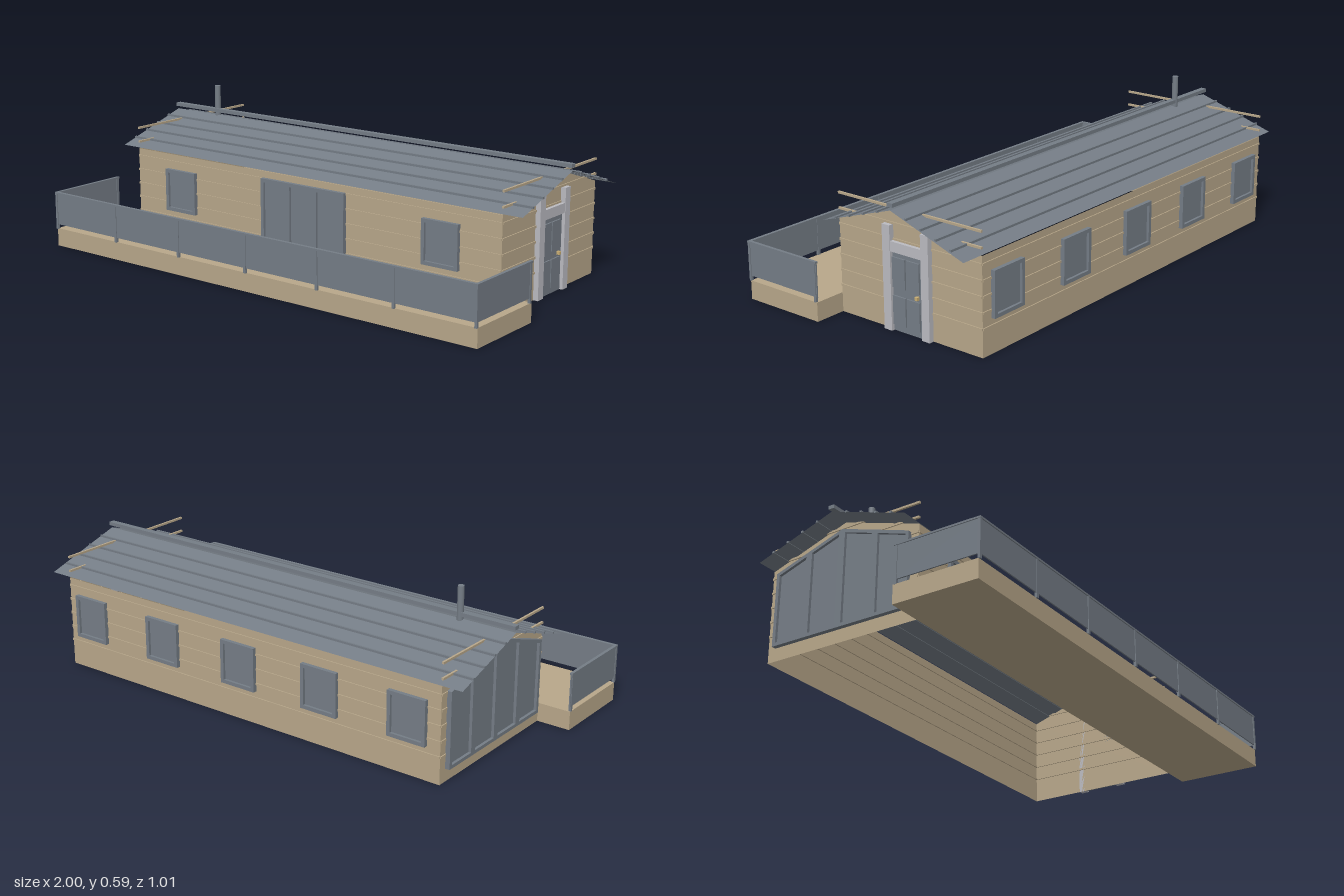
import * as THREE from 'three';

const mat = (name, color, side = THREE.FrontSide) =>
  Object.assign(new THREE.MeshStandardMaterial({ color, side }), { name });

export function createModel() {
  const tan = mat('timber', 0xb8a78a, THREE.DoubleSide);
  const gray = mat('slate gray', 0x757d86, THREE.DoubleSide);
  const white = mat('pale trim', 0xbbbbc1);
  const brass = mat('brass', 0xc9ae74);

  const model = new THREE.Group();
  model.name = 'cabin';
  const group = (name) => {
    const g = new THREE.Group();
    g.name = name;
    model.add(g);
    return g;
  };
  const add = (parent, name, geo, m) => {
    const mesh = new THREE.Mesh(geo, m);
    mesh.name = name;
    parent.add(mesh);
    return mesh;
  };
  // Box given by its min and max on each axis
  const box = (parent, name, m, x0, x1, y0, y1, z0, z1) =>
    add(parent, name, new THREE.BoxGeometry(x1 - x0, y1 - y0, z1 - z0), m)
      .position.set((x0 + x1) / 2, (y0 + y1) / 2, (z0 + z1) / 2);
  // Flat convex polygon as a triangle fan
  const poly = (parent, name, m, pts) => {
    const geo = new THREE.BufferGeometry().setFromPoints(pts.map((p) => new THREE.Vector3(...p)));
    geo.setIndex(pts.slice(2).flatMap((_, i) => [0, i + 1, i + 2]));
    const flat = geo.toNonIndexed();
    flat.computeVertexNormals();
    return add(parent, name, flat, m);
  };

  const L = -0.866, R = 0.874, F = 0.16, B = -0.486, RZ = -0.163, EAVE = 0.36, RIDGE = 0.465;
  const SLOPE = (RIDGE - EAVE) / (F - RZ);
  const roofY = (z) => RIDGE - SLOPE * Math.abs(z - RZ);

  // Wall shell, open underneath
  const walls = group('walls');
  poly(walls, 'frontWall', tan, [[L, 0, F], [R, 0, F], [R, EAVE, F], [L, EAVE, F]]);
  poly(walls, 'backWall', tan, [[R, 0, B], [L, 0, B], [L, EAVE, B], [R, EAVE, B]]);
  poly(walls, 'rightGable', tan, [[R, 0, F], [R, 0, B], [R, EAVE, B], [R, RIDGE, RZ], [R, EAVE, F]]);
  poly(walls, 'leftGable', tan, [[L, 0, B], [L, 0, F], [L, EAVE, F], [L, RIDGE, RZ], [L, EAVE, B]]);

  // Siding battens; the top two on each gable run out past the roof
  const siding = group('siding');
  for (let i = 0; i < 7; i++) {
    const y = 0.102 + i * 0.057;
    for (const x of [L, R]) box(siding, 'gableBatten', tan, x - 0.004, x + 0.004, y - 0.004, y + 0.004, B, F);
    if (i < 5)
      for (const z of [F, B]) box(siding, 'wallBatten', tan, L, R, y - 0.004, y + 0.004, z - 0.004, z + 0.004);
  }

  // Thin roof planes with raised ribs, and the ridge bar
  const roof = group('roof');
  const t = 0.003;
  poly(roof, 'frontSlope', gray, [[-0.95, EAVE + t, F], [0.953, EAVE + t, F], [0.958, RIDGE + t, RZ], [-0.948, RIDGE + t, RZ]]);
  poly(roof, 'backSlope', gray, [[0.966, EAVE + t, B], [-0.945, EAVE + t, B], [-0.948, RIDGE + t, RZ], [0.958, RIDGE + t, RZ]]);
  for (const s of [1, -1])
    for (let i = 0; i < 4; i++) {
      const z = RZ + s * (0.065 + i * 0.065);
      const y = roofY(z) + 0.006;
      box(roof, 'roofRib', gray, -0.948, 0.957, y - 0.004, y + 0.004, z - 0.004, z + 0.004);
    }
  box(roof, 'ridgeBar', gray, -0.95, 0.96, 0.48, 0.494, RZ - 0.012, RZ + 0.012);

  // Chimney
  add(group('chimney'), 'chimneyPipe', new THREE.CylinderGeometry(0.012, 0.012, 0.15, 16), gray)
    .position.set(-0.725, 0.515, -0.166);

  // Framed windows on the long walls; dir is the outward z direction
  const windowUnit = (name, x0, x1, y0, y1, wallZ, dir, panes = 1) => {
    const g = group(name);
    const z = (d) => wallZ + dir * d;
    const slab = (part, a, b, c, d, depth) =>
      box(g, part, gray, a, b, c, d, Math.min(z(0.001), z(depth)), Math.max(z(0.001), z(depth)));
    const w = 0.014;
    slab('glass', x0 + w, x1 - w, y0 + w, y1 - w, 0.007);
    slab('frameTop', x0, x1, y1 - w, y1, 0.017);
    slab('frameBottom', x0, x1, y0, y0 + w, 0.017);
    for (let i = 0; i <= panes; i++) {
      const c = x0 + w / 2 + ((x1 - x0 - w) * i) / panes;
      slab('frameUpright', c - w / 2, c + w / 2, y0 + w, y1 - w, 0.017);
    }
  };
  windowUnit('patioDoors', -0.2, 0.2, 0.071, 0.335, F, 1, 3);
  for (const x of [-0.625, 0.625]) windowUnit('frontWindow', x - 0.078, x + 0.078, 0.13, 0.3, F, 1);
  for (const x of [-0.735, -0.363, 0.007, 0.38, 0.753]) windowUnit('backWindow', x - 0.078, x + 0.078, 0.13, 0.3, B, -1);

  // Glazed gable: four panes with sloping tops
  const glazing = group('gableGlazing');
  const outline = (z0, z1, inset) => [
    [z0 + inset, 0.05 + inset], [z1 - inset, 0.05 + inset],
    [z1 - inset, roofY(z1 - inset) - 0.035 - inset], [z0 + inset, roofY(z0 + inset) - 0.035 - inset],
  ].map((p) => new THREE.Vector2(...p));
  const sheet = (name, shape, depth) => {
    const geo = new THREE.ExtrudeGeometry(shape, { depth, bevelEnabled: false });
    add(glazing, name, geo.rotateY(-Math.PI / 2), gray).position.x = L - 0.001;
  };
  const edges = [-0.455, -0.309, RZ, -0.017, 0.129];
  for (let i = 0; i < 4; i++) {
    const frame = new THREE.Shape(outline(edges[i], edges[i + 1], 0));
    frame.holes.push(new THREE.Path(outline(edges[i], edges[i + 1], 0.013)));
    sheet('gableFrame', frame, 0.018);
    sheet('gableGlass', new THREE.Shape(outline(edges[i], edges[i + 1], 0.013)), 0.007);
  }

  // Entrance door with pale surround, four raised panels and knob
  const door = group('entranceDoor');
  box(door, 'doorLeaf', gray, R, R + 0.007, 0, 0.29, -0.234, -0.095);
  box(door, 'doorPostFront', white, R, R + 0.02, 0, 0.383, -0.095, -0.06);
  box(door, 'doorPostBack', white, R, R + 0.02, 0, 0.383, -0.268, -0.234);
  box(door, 'doorLintel', white, R, R + 0.018, 0.29, 0.327, -0.234, -0.095);
  for (const [y0, y1] of [[0.024, 0.13], [0.16, 0.27]])
    for (const z of [-0.189, -0.125])
      box(door, 'doorPanel', gray, R + 0.007, R + 0.013, y0, y1, z - 0.029, z + 0.029);
  box(door, 'doorKnob', brass, R + 0.007, R + 0.02, 0.139, 0.151, -0.215, -0.203);

  // Deck and its panelled railing
  box(model, 'deck', tan, -0.998, 0.998, 0, 0.072, F, 0.498);
  const railing = group('railing');
  box(railing, 'frontPanel', gray, -0.997, 0.997, 0.09, 0.217, 0.496, 0.501);
  box(railing, 'frontRail', gray, -1, 1, 0.215, 0.222, 0.492, 0.505);
  for (let i = 0; i < 7; i++) {
    const x = -0.994 + i * 0.3313;
    box(railing, 'railingPost', gray, x - 0.005, x + 0.005, 0.071, 0.217, 0.494, 0.504);
  }
  for (const s of [-1, 1]) {
    const x = s * 0.994;
    box(railing, 'sidePanel', gray, x - 0.0025, x + 0.0025, 0.09, 0.217, F, 0.498);
    box(railing, 'sideRail', gray, x - 0.006, x + 0.006, 0.215, 0.222, F, 0.5);
    box(railing, 'wallPost', gray, x - 0.005, x + 0.005, 0.071, 0.217, F + 0.004, F + 0.014);
  }
  return model;
}
